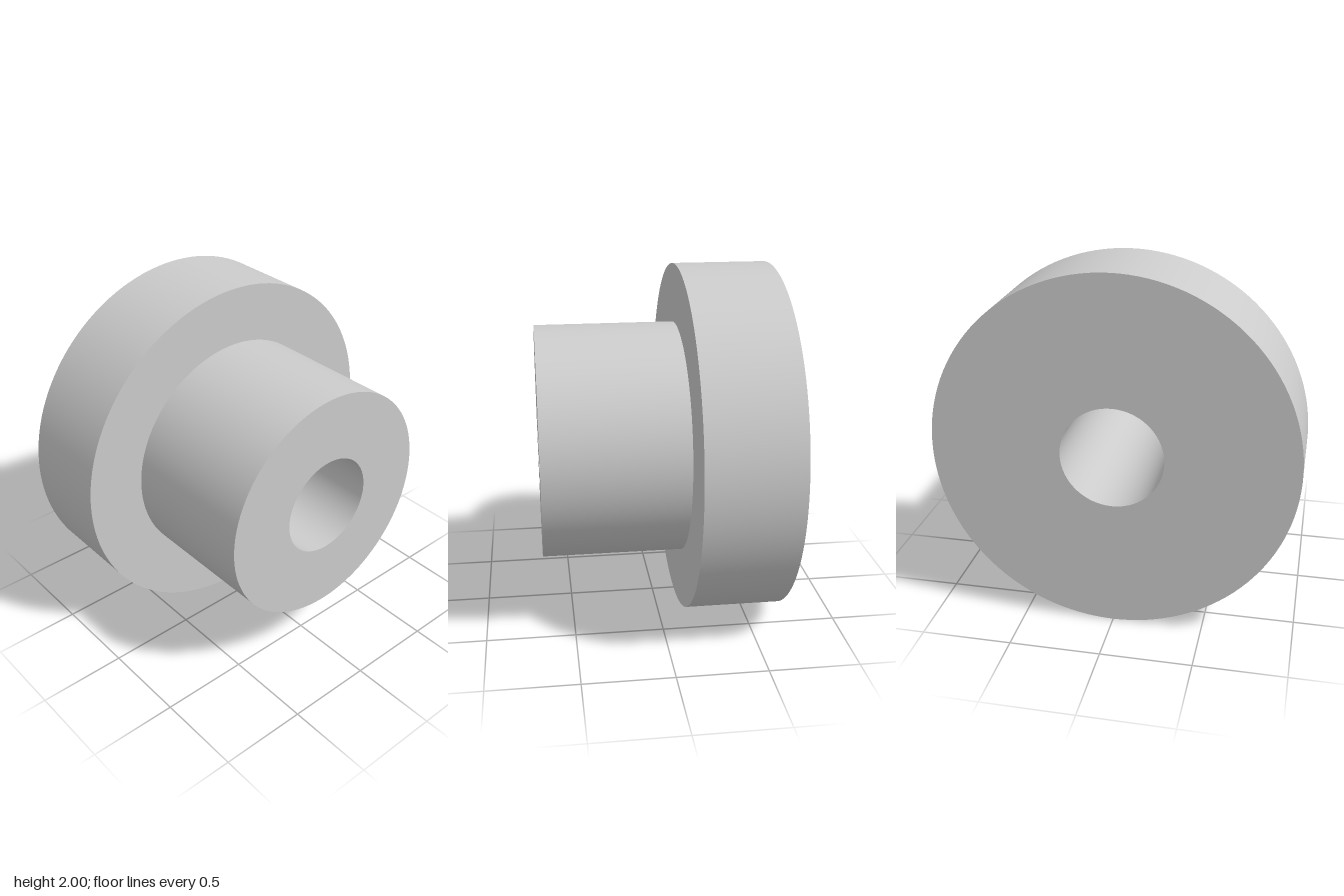
import * as THREE from 'three';
import { toCreasedNormals } from 'three/addons/utils/BufferGeometryUtils.js';

const SEGMENTS = 128;
const BORE = 0.283, HUB = 0.667, FLANGE = 1;      // radii
const BACK = -0.667, STEP = -0.133, FRONT = 0.667; // positions along the axis

export function createModel() {
  const model = new THREE.Group();
  model.name = 'flangedBushing';
  const material = new THREE.MeshStandardMaterial({ color: 0xcccccc });

  // Turn a [radius, z] profile around the z axis, keeping the rims sharp
  function turned(name, profile) {
    const points = profile.map(([r, z]) => new THREE.Vector2(r, z));
    const geometry = new THREE.LatheGeometry(points, SEGMENTS).rotateX(Math.PI / 2);
    const mesh = new THREE.Mesh(toCreasedNormals(geometry, Math.PI / 6), material);
    mesh.name = name;
    mesh.position.y = FLANGE;
    model.add(mesh);
  }

  // Wide disc: back face, rim and front shoulder
  turned('flange', [[BORE, BACK], [FLANGE, BACK], [FLANGE, STEP], [HUB, STEP]]);
  // Narrower sleeve with its front face
  turned('hub', [[HUB, STEP], [HUB, FRONT], [BORE, FRONT]]);
  // Through hole, facing inwards
  turned('bore', [[BORE, FRONT], [BORE, BACK]]);

  return model;
}
